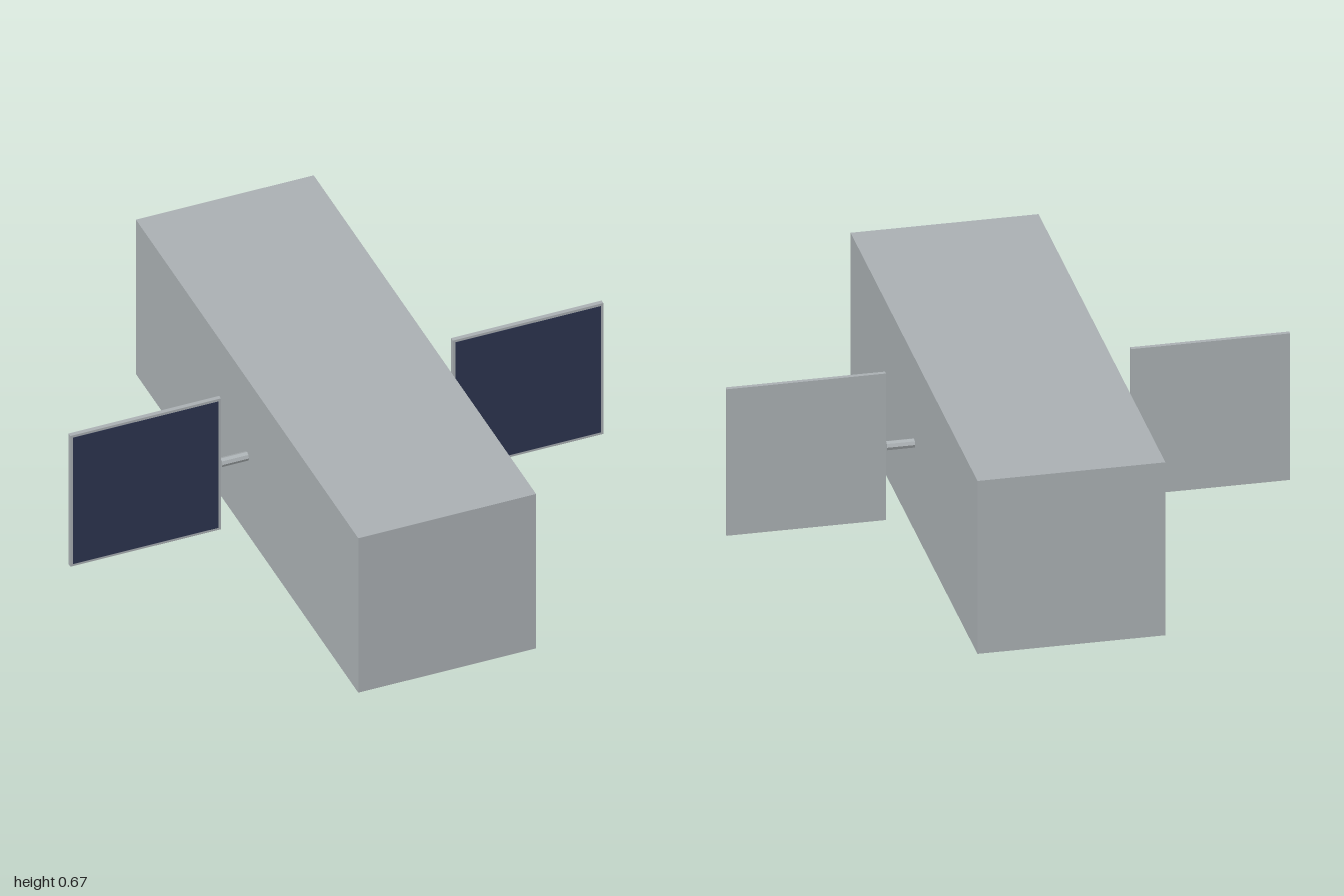
import * as THREE from 'three';

export function createModel() {
  const hull = new THREE.MeshStandardMaterial({ color: 0xabb1b4 });
  hull.name = 'hullGrey';
  const cell = new THREE.MeshStandardMaterial({ color: 0x2c3450 });
  cell.name = 'cellNavy';

  const model = new THREE.Group();
  model.name = 'satellite';
  const midY = 0.335;

  const add = (parent, name, geometry, material, x, y, z) => {
    const mesh = new THREE.Mesh(geometry, material);
    mesh.name = name;
    mesh.position.set(x, y, z);
    parent.add(mesh);
    return mesh;
  };

  // Long square body
  add(model, 'body', new THREE.BoxGeometry(0.667, 0.667, 2), hull, 0, 0.3335, 0);

  // Faceted strut, running along x
  const strut = new THREE.CylinderGeometry(0.017, 0.017, 0.1, 8).toNonIndexed();
  strut.rotateZ(Math.PI / 2);
  strut.computeVertexNormals();

  // One solar wing on each side, cells facing the front
  for (const side of [1, -1]) {
    const wing = new THREE.Group();
    wing.name = side > 0 ? 'leftWing' : 'rightWing';
    add(wing, 'strut', strut, hull, side * 0.383, midY, 0);
    add(wing, 'panel', new THREE.BoxGeometry(0.565, 0.565, 0.016), hull, side * 0.7175, midY, 0);
    add(wing, 'solarCells', new THREE.BoxGeometry(0.545, 0.545, 0.002), cell, side * 0.7175, midY, 0.0085);
    model.add(wing);
  }
  return model;
}
